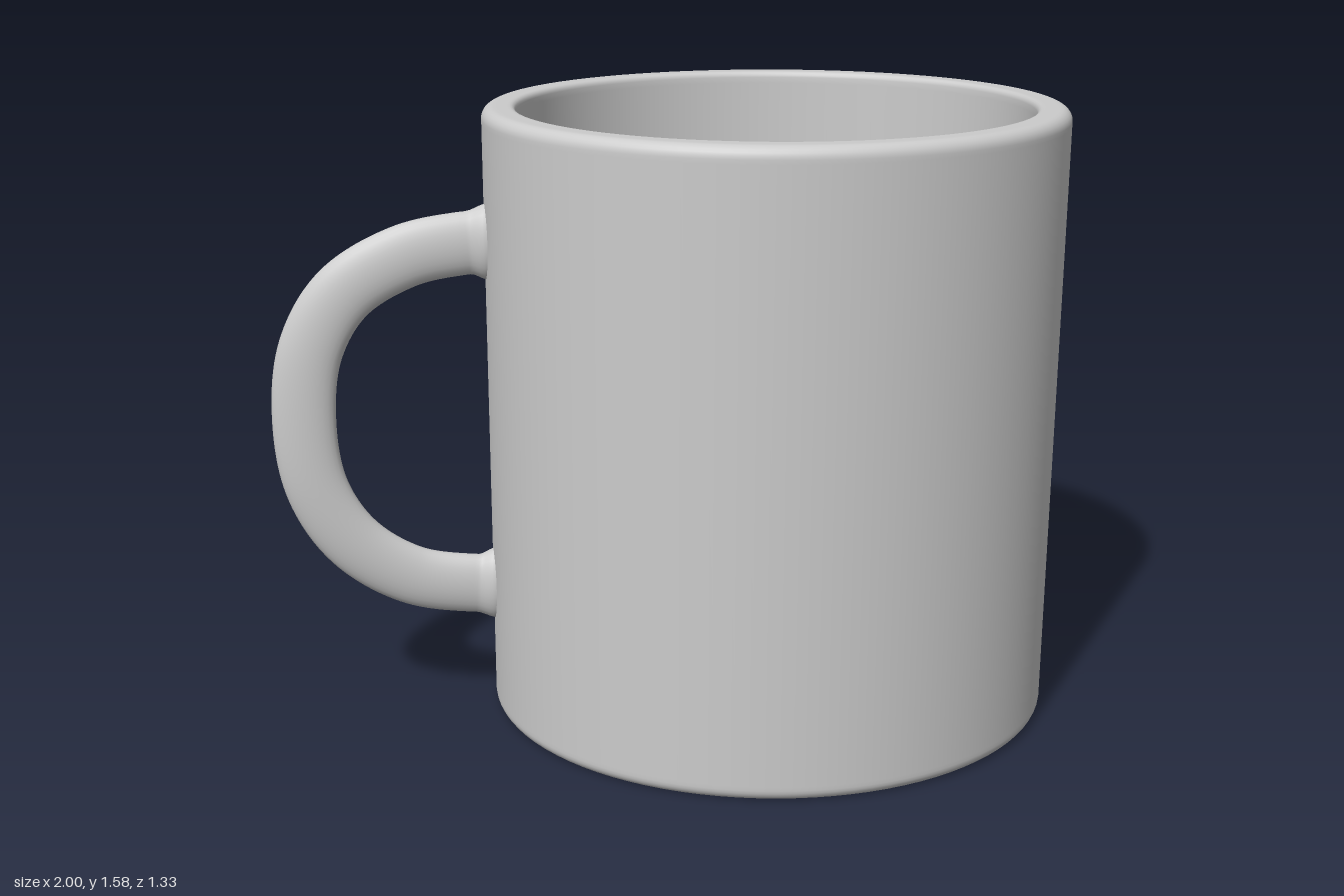
import * as THREE from 'three';
import { ParametricGeometry } from 'three/addons/geometries/ParametricGeometry.js';

const HEIGHT = 1.58, RADIUS = 0.73, DEPTH_RATIO = 0.911, CENTER_X = 0.27;

// Quarter-round profile points about (cx, cy) from angle a0 to a1 (degrees)
function arc(cx, cy, r, a0, a1, steps = 6) {
  return Array.from({ length: steps + 1 }, (_, i) => {
    const a = THREE.MathUtils.degToRad(a0 + (a1 - a0) * i / steps);
    return new THREE.Vector2(cx + r * Math.cos(a), cy + r * Math.sin(a));
  });
}

// Hollow oval body: base, outer wall, rounded rim, inner wall and floor
function bodyGeometry() {
  const p = (x, y) => new THREE.Vector2(x, y);
  const r = 0.03, floor = 0.09;
  const profile = [
    p(0, 0), p(RADIUS - r - 0.01, 0),
    ...arc(RADIUS - r, r, r, -90, 0),
    p(RADIUS, r + 0.01), p(RADIUS, HEIGHT - r - 0.01),
    ...arc(RADIUS - r, HEIGHT - r, r, 0, 90),
    p(RADIUS - r - 0.01, HEIGHT), p(0.667, HEIGHT),
    ...arc(0.66, HEIGHT - 0.015, 0.015, 90, 180, 4),
    p(0.644, HEIGHT - 0.03), p(0.637, floor + 0.04),
    ...arc(0.612, floor + 0.025, 0.025, 0, -90, 5),
    p(0.6, floor), p(0, floor),
  ];
  const geometry = new THREE.LatheGeometry(profile, 96);
  geometry.scale(1, 1, DEPTH_RATIO);
  return geometry;
}

// Flattened oval section swept along a D-shaped path, slightly turned to the front
function handleGeometry() {
  const path = new THREE.CatmullRomCurve3([
    [-0.41, 1.25], [-0.52, 1.246], [-0.66, 1.218], [-0.81, 1.13], [-0.895, 0.99],
    [-0.92, 0.8], [-0.895, 0.62], [-0.81, 0.475], [-0.67, 0.377], [-0.52, 0.344], [-0.41, 0.34],
  ].map(([x, y]) => new THREE.Vector3(x, y, 0.06 - (x + 0.46) * 0.1)), false, 'centripetal');

  return new ParametricGeometry((u, v, target) => {
    const t = THREE.MathUtils.clamp(v, 0, 1);
    const c = path.getPoint(t), d = path.getTangent(t);
    const length = Math.hypot(d.x, d.y);
    const a = u * Math.PI * 2;
    // Small flare where the handle meets the wall
    const flare = 0.016 * THREE.MathUtils.smoothstep(c.x, -0.5, -0.45);
    const wide = (0.08 + flare) * Math.cos(a), thick = (0.037 + flare) * Math.sin(a);
    target.set(c.x - d.y / length * wide, c.y + d.x / length * wide, c.z + thick);
  }, 28, 110);
}

export function createModel() {
  const group = new THREE.Group();
  group.name = 'mug';
  const material = new THREE.MeshStandardMaterial({ color: 0xcccccc });

  const body = new THREE.Mesh(bodyGeometry(), material);
  body.name = 'body';
  body.position.x = CENTER_X;

  const handle = new THREE.Mesh(handleGeometry(), material);
  handle.name = 'handle';

  group.add(body, handle);
  return group;
}
